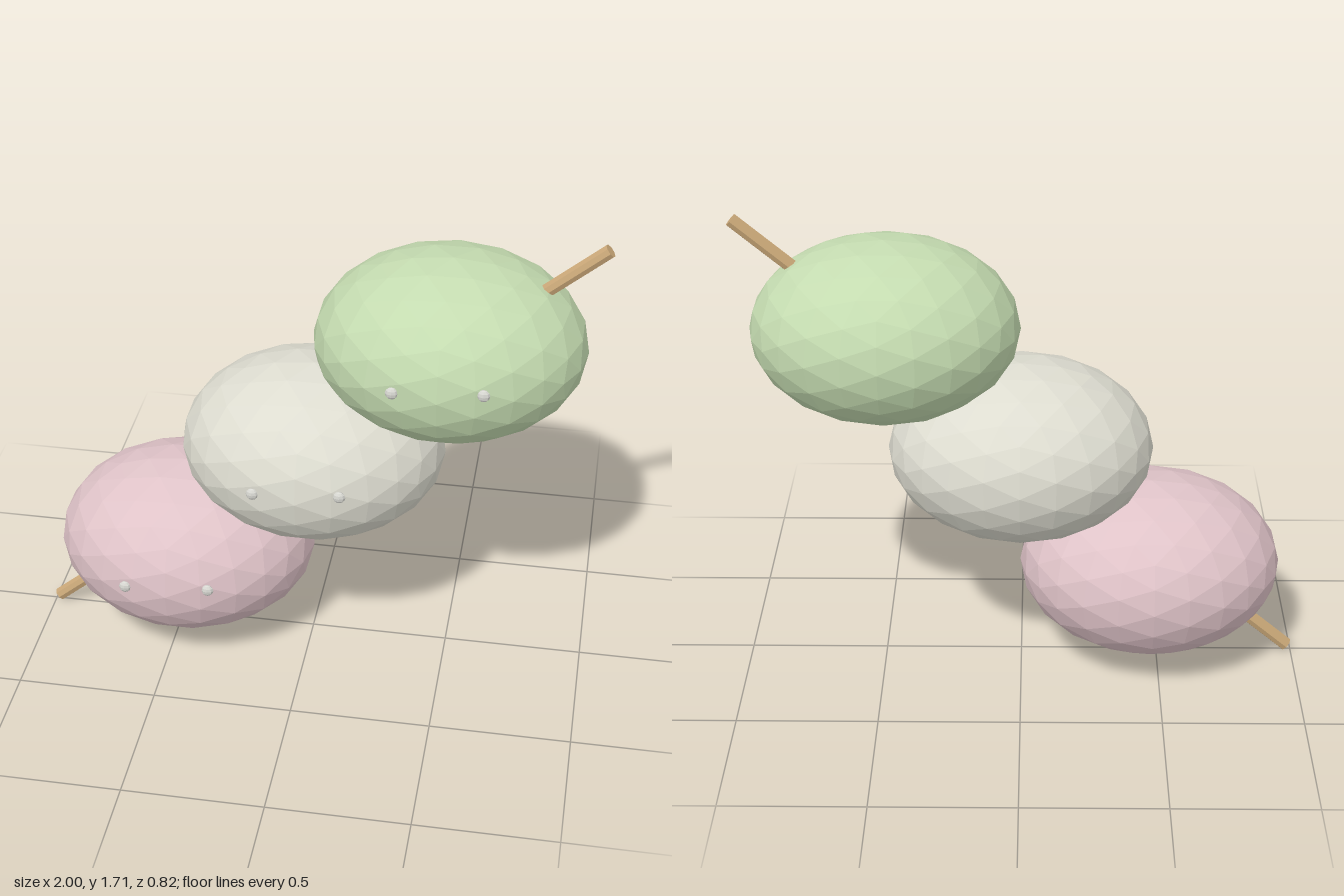
import * as THREE from 'three';

const mat = (name, color) => {
  const m = new THREE.MeshStandardMaterial({ color, flatShading: true });
  m.name = name;
  return m;
};

export function createModel() {
  const group = new THREE.Group();
  const eyeMat = mat('pale eye', 0xd8d8d2);
  const add = (parent, name, geometry, material) => {
    const mesh = new THREE.Mesh(geometry, material);
    mesh.name = name;
    parent.add(mesh);
    return mesh;
  };

  // Faceted, flattened dumplings stepping up along the stick
  const ballGeo = new THREE.IcosahedronGeometry(1, 3).scale(0.47, 0.322, 0.41);
  const eyeGeo = new THREE.SphereGeometry(0.022, 8, 6).scale(1, 1, 0.6);
  const dumplings = [
    ['pinkDumpling', -0.466, 0.381, mat('pink dough', 0xdfc3c8)],
    ['whiteDumpling', 0.002, 0.838, mat('white dough', 0xdddcd0)],
    ['greenDumpling', 0.472, 1.294, mat('green dough', 0xc4dbb0)],
  ];
  for (const [name, x, y, material] of dumplings) {
    const dumpling = new THREE.Group();
    dumpling.name = name;
    dumpling.position.set(x, y, 0);
    add(dumpling, 'dough', ballGeo, material);
    // Small eyes, the left one slightly higher
    add(dumpling, 'rightEye', eyeGeo, eyeMat).position.set(-0.15, 0.013, 0.385);
    add(dumpling, 'leftEye', eyeGeo, eyeMat).position.set(0.15, 0.034, 0.385);
    group.add(dumpling);
  }

  // Slanted wooden stick through all three
  const start = new THREE.Vector3(-0.984, 0.02, 0);
  const end = new THREE.Vector3(0.984, 1.687, 0);
  const axis = end.clone().sub(start);
  const stick = add(group, 'stick',
    new THREE.CylinderGeometry(0.025, 0.025, axis.length(), 8), mat('wood', 0xcaa878));
  stick.position.addVectors(start, end).multiplyScalar(0.5);
  stick.quaternion.setFromUnitVectors(new THREE.Vector3(0, 1, 0), axis.normalize());

  return group;
}
